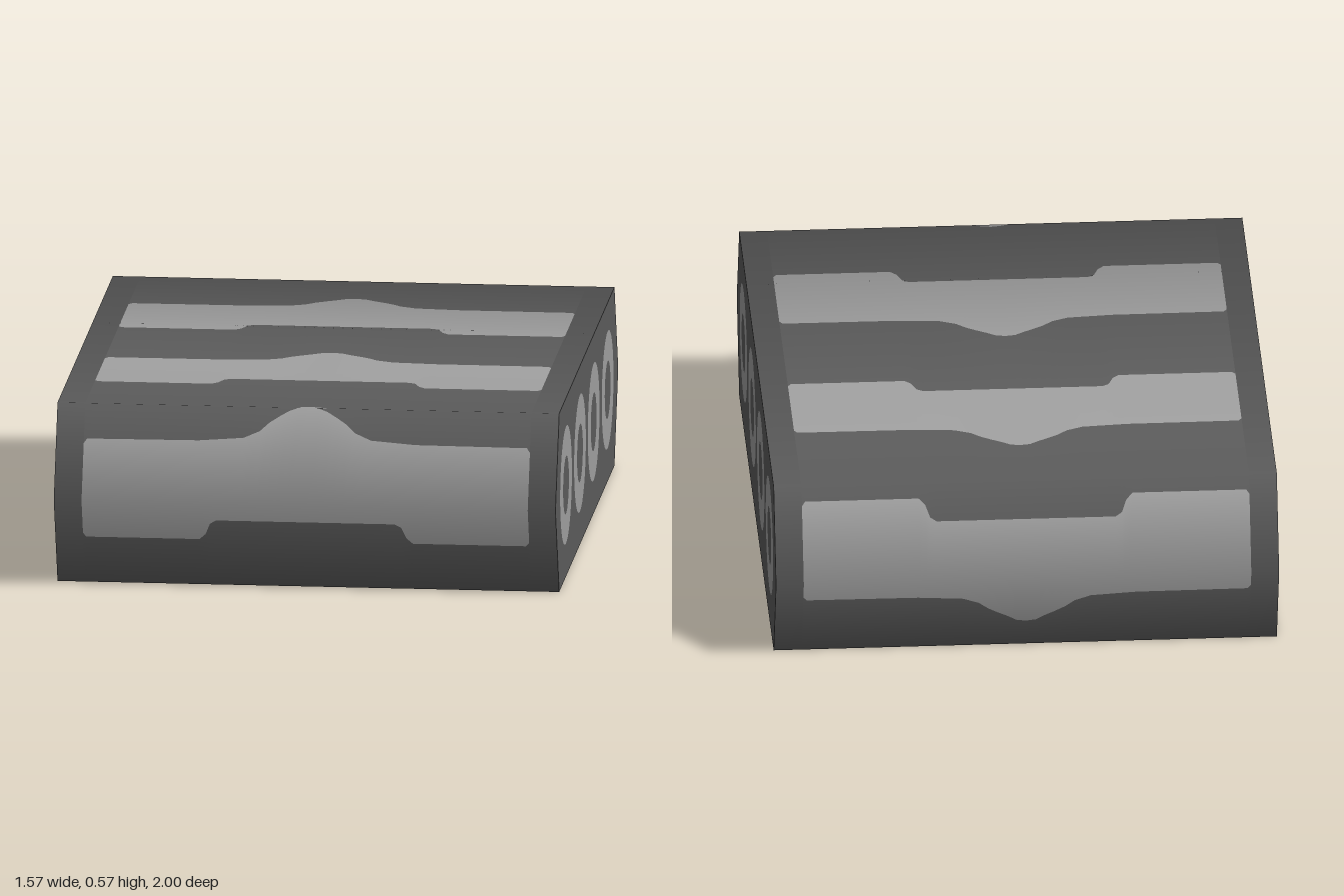
import * as THREE from 'three';

const HALF_W = 0.787, PAD_W = 0.7;
// Belt profile: [z, y, normal z, normal y], running from front bottom over the top to back bottom
const PROFILE = [
  [0.88, 0, 0.92, -0.39], [1, 0.286, 1, 0], [0.88, 0.572, 0.66, 0.75],
  [-0.88, 0.572, -0.66, 0.75], [-1, 0.286, -1, 0], [-0.88, 0, -0.92, -0.39],
];
// Distance along the belt at each crease
const CREASES = [0];
for (let i = 1; i < PROFILE.length; i++) {
  const a = PROFILE[i - 1], b = PROFILE[i];
  CREASES.push(CREASES[i - 1] + Math.hypot(b[0] - a[0], b[1] - a[1]));
}
const TOTAL = CREASES[CREASES.length - 1];

// Pad outline as [distance from centre, height along the belt]
const LOWER = [[0, 0.073], [0.28, 0.073], [0.3, 0.06], [0.315, 0.02], [0.335, 0], [0.69, 0], [0.7, 0.014]];
const UPPER = [[0, 0.462], [0.03, 0.457], [0.06, 0.436], [0.09, 0.418], [0.12, 0.398], [0.15, 0.37],
  [0.2, 0.348], [0.34, 0.337], [0.69, 0.335], [0.7, 0.32]];
const PAD_STARTS = [0, 1, 2, 3].map((i) => 0.173 + i * 0.752);

function sample(table, x) {
  const d = Math.abs(x);
  for (let i = 1; i < table.length; i++) {
    const [x0, y0] = table[i - 1], [x1, y1] = table[i];
    if (d <= x1) return y0 + (y1 - y0) * (d - x0) / (x1 - x0);
  }
  return table[table.length - 1][1];
}

// Column positions shared by pads and the rubber between them
const half = [...new Set([...LOWER, ...UPPER].map((p) => p[0]))].sort((a, b) => a - b);
const COLUMNS = [...half.slice(1).reverse().map((x) => -x), ...half];

// Surface on the belt between two curves low(x) and high(x), split at the creases
function beltPatch(columns, low, high) {
  const pos = [], nor = [], idx = [];
  const add = (x, s, k) => {
    const a = PROFILE[k], b = PROFILE[k + 1];
    const t = (s - CREASES[k]) / (CREASES[k + 1] - CREASES[k]);
    const v = a.map((n, i) => n + (b[i] - n) * t);
    const len = Math.hypot(v[2], v[3]);
    pos.push(x, v[1], v[0]);
    nor.push(0, v[3] / len, v[2] / len);
  };
  for (let c = 0; c < columns.length - 1; c++) {
    const x0 = columns[c], x1 = columns[c + 1];
    for (let k = 0; k < PROFILE.length - 1; k++) {
      const clamp = (s) => Math.min(Math.max(s, CREASES[k]), CREASES[k + 1]);
      const a = clamp(low(x0)), b = clamp(low(x1)), d = clamp(high(x0)), e = clamp(high(x1));
      if (d - a < 1e-6 && e - b < 1e-6) continue;
      const n = pos.length / 3;
      add(x0, a, k); add(x1, b, k); add(x1, e, k); add(x0, d, k);
      idx.push(n, n + 1, n + 2, n, n + 2, n + 3);
    }
  }
  const g = new THREE.BufferGeometry();
  g.setAttribute('position', new THREE.Float32BufferAttribute(pos, 3));
  g.setAttribute('normal', new THREE.Float32BufferAttribute(nor, 3));
  g.setIndex(idx);
  return g;
}

export function createModel() {
  const model = new THREE.Group();
  model.name = 'trackUnit';
  const dark = new THREE.MeshStandardMaterial({ color: 0x5c5c5c, side: THREE.DoubleSide });
  dark.name = 'darkGrey';
  const light = new THREE.MeshStandardMaterial({ color: 0xa0a0a0, side: THREE.DoubleSide });
  light.name = 'lightGrey';
  const add = (parent, name, geometry, material) => {
    const mesh = new THREE.Mesh(geometry, material);
    mesh.name = name;
    parent.add(mesh);
    return mesh;
  };

  // Belt margins outside the pads
  for (const cols of [[-HALF_W, -PAD_W], [PAD_W, HALF_W]]) {
    add(model, 'beltMargin', beltPatch(cols, () => 0, () => TOTAL), dark);
  }

  // Tread pads and the belt between them
  for (let i = 0; i <= PAD_STARTS.length; i++) {
    const low = (x) => (i === 0 ? 0 : PAD_STARTS[i - 1] + sample(UPPER, x));
    const high = (x) => (i === PAD_STARTS.length ? TOTAL : PAD_STARTS[i] + sample(LOWER, x));
    add(model, 'beltGap', beltPatch(COLUMNS, low, high), dark);
    if (i < PAD_STARTS.length) {
      const top = (x) => PAD_STARTS[i] + sample(UPPER, x);
      add(model, 'treadPad', beltPatch(COLUMNS, high, top), light);
    }
  }

  // Side plates with ringed wheels
  const plate = new THREE.Shape(PROFILE.map((p) => new THREE.Vector2(p[0], p[1])));
  const wheels = [0.662, 0.218, -0.218, -0.662];
  const wheelY = 0.293, outer = 0.187, inner = 0.092;
  for (const z of wheels) {
    plate.holes.push(new THREE.Path().absarc(z, wheelY, outer, 0, Math.PI * 2, true));
  }
  for (const side of [1, -1]) {
    const group = new THREE.Group();
    group.name = side > 0 ? 'leftSide' : 'rightSide';
    group.position.x = side * HALF_W;
    group.rotation.y = side * Math.PI / 2;
    add(group, 'sidePlate', new THREE.ShapeGeometry(plate, 24), dark);
    for (const z of wheels) {
      add(group, 'wheelRing', new THREE.RingGeometry(inner, outer, 48), light).position.set(z, wheelY, 0);
      add(group, 'wheelHub', new THREE.CircleGeometry(inner, 48), dark).position.set(z, wheelY, 0);
    }
    model.add(group);
  }
  return model;
}
